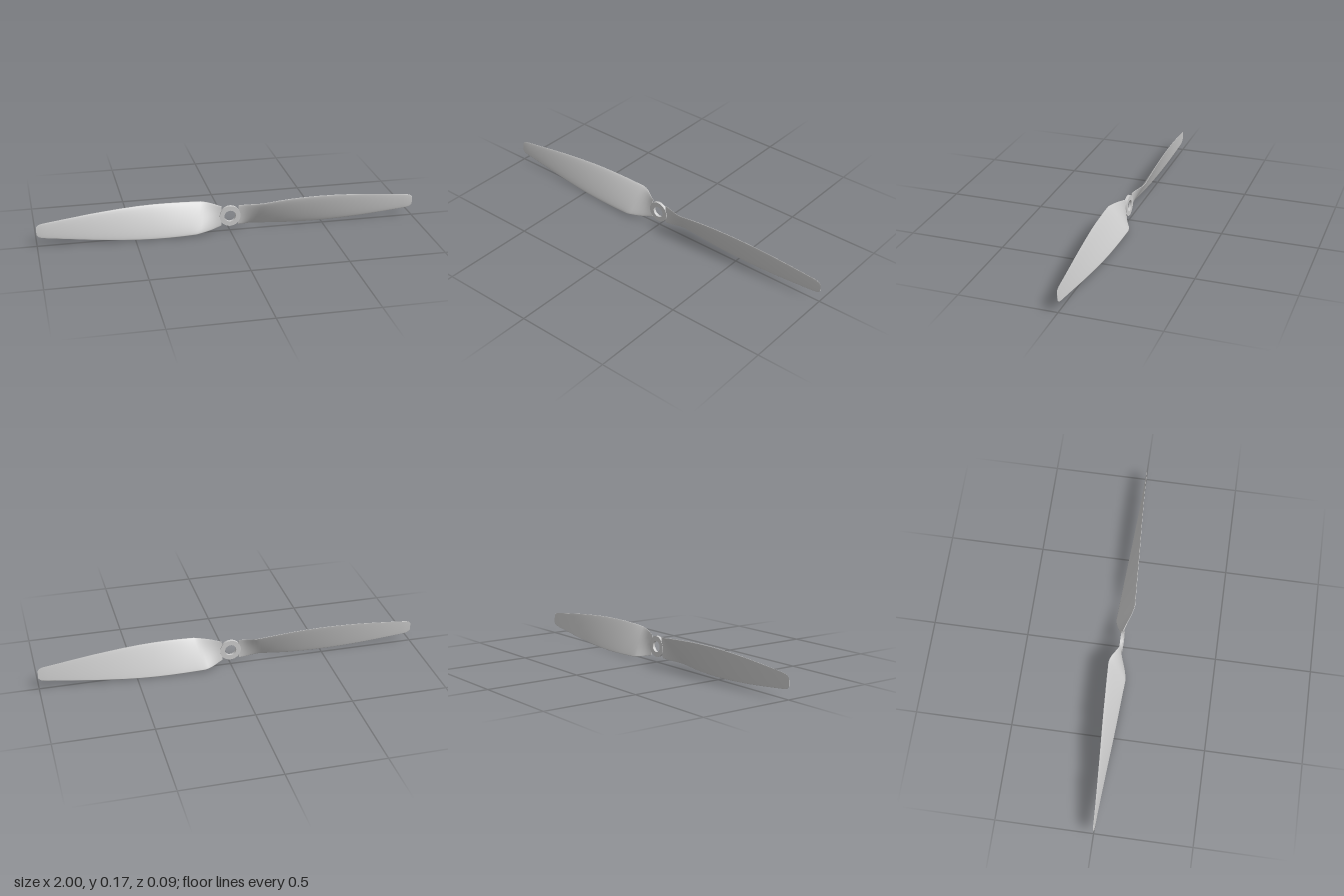
import * as THREE from 'three';

const material = new THREE.MeshStandardMaterial({ color: 0xcccccc });
const HUB_Y = 0.085;

// Blade stations: distance from the hub, half height, half depth, thickness
const STATIONS = [
  [0.045, 0.054, 0.003, 0.007], [0.065, 0.058, 0.011, 0.008], [0.09, 0.063, 0.023, 0.009],
  [0.12, 0.067, 0.036, 0.01], [0.145, 0.07, 0.044, 0.011], [0.165, 0.073, 0.047, 0.011],
  [0.2, 0.0755, 0.045, 0.011], [0.26, 0.079, 0.042, 0.011], [0.33, 0.082, 0.038, 0.011],
  [0.4, 0.083, 0.0345, 0.0105], [0.48, 0.082, 0.03, 0.01], [0.56, 0.0785, 0.025, 0.009],
  [0.64, 0.073, 0.02, 0.008], [0.72, 0.0665, 0.0155, 0.007], [0.8, 0.058, 0.011, 0.006],
  [0.88, 0.049, 0.007, 0.005], [0.95, 0.041, 0.004, 0.004], [0.975, 0.0375, 0.003, 0.0035],
  [0.99, 0.032, 0.0025, 0.003], [1, 0.021, 0.0015, 0.002],
];

// Twisted blade along +x: thin section, rounded in front and nearly flat behind
function bladeGeometry() {
  const half = 12, ring = half * 2;
  const positions = [], indices = [];
  for (const [x, hy, hz, t] of STATIONS) {
    const chord = Math.hypot(hy, hz), c = hy / chord, s = hz / chord;
    const skew = 0.02 * Math.exp(-(((x - 0.16) / 0.07) ** 2));
    for (let j = 0; j < ring; j++) {
      const a = (j / ring) * Math.PI * 2;
      const u = Math.cos(a);
      const n = Math.sin(a) * (Math.sin(a) > 0 ? 0.75 : 0.25) * t;
      positions.push(x + skew * u, u * hy - n * s, u * hz + n * c + 0.001);
    }
  }
  for (let i = 0; i < STATIONS.length - 1; i++) {
    for (let j = 0; j < ring; j++) {
      const a = i * ring + j, b = i * ring + ((j + 1) % ring);
      indices.push(a, a + ring, b, b, a + ring, b + ring);
    }
  }
  // End caps, with their own corners so the edges stay sharp
  for (const [row, outer] of [[0, false], [STATIONS.length - 1, true]]) {
    const base = positions.length / 3;
    for (let k = 0; k < ring * 3; k++) positions.push(positions[row * ring * 3 + k]);
    for (let j = 1; j < ring - 1; j++) {
      if (outer) indices.push(base, base + j, base + j + 1);
      else indices.push(base, base + j + 1, base + j);
    }
  }
  const geometry = new THREE.BufferGeometry();
  geometry.setAttribute('position', new THREE.Float32BufferAttribute(positions, 3));
  geometry.setIndex(indices);
  geometry.computeVertexNormals();
  return geometry;
}

// Flat ring with a shaft hole
function hubGeometry() {
  const shape = new THREE.Shape().absarc(0, 0, 0.055, 0, Math.PI * 2, false);
  shape.holes.push(new THREE.Path().absarc(0, 0, 0.03, 0, Math.PI * 2, true));
  const geometry = new THREE.ExtrudeGeometry(shape, { depth: 0.015, bevelEnabled: false, curveSegments: 40 });
  geometry.translate(0, 0, -0.004);
  return geometry;
}

export function createModel() {
  const model = new THREE.Group();
  model.name = 'propeller';

  const hub = new THREE.Mesh(hubGeometry(), material);
  hub.name = 'hubRing';
  hub.position.y = HUB_Y;
  model.add(hub);

  // Two equal blades, half a turn apart about the shaft
  const geometry = bladeGeometry();
  const bladeMaterial = material.clone();
  bladeMaterial.side = THREE.DoubleSide;
  ['leftBlade', 'rightBlade'].forEach((name, i) => {
    const blade = new THREE.Mesh(geometry, bladeMaterial);
    blade.name = name;
    blade.position.y = HUB_Y;
    blade.rotation.z = i * Math.PI;
    model.add(blade);
  });
  return model;
}
